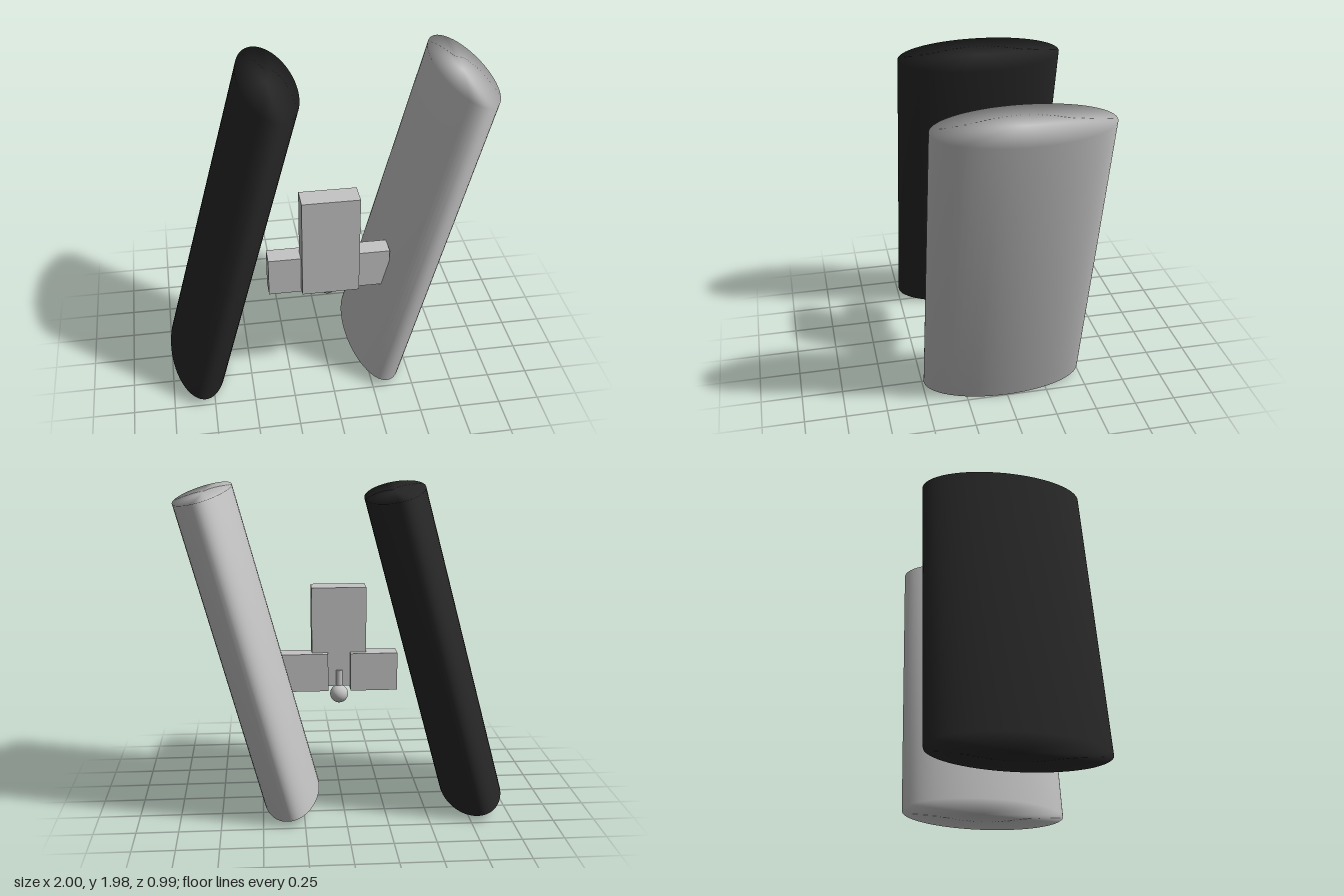
import * as THREE from 'three';
import { mergeVertices } from 'three/addons/utils/BufferGeometryUtils.js';

export function createModel() {
  const model = new THREE.Group();
  const grey = new THREE.MeshStandardMaterial({ color: 0xc4c4c4 });
  grey.name = 'light grey';
  const black = new THREE.MeshStandardMaterial({ color: 0x272727 });
  black.name = 'black';

  function add(name, geometry, material, x, y, z) {
    const mesh = new THREE.Mesh(geometry, material);
    mesh.name = name;
    mesh.position.set(x, y, z);
    model.add(mesh);
    return mesh;
  }

  // Oval column with normals blended over the rims
  let oval = new THREE.CylinderGeometry(1, 1, 1.956, 64, 1);
  oval.scale(0.182, 1, 0.497);
  oval.deleteAttribute('normal');
  oval.deleteAttribute('uv');
  oval = mergeVertices(oval);
  oval.computeVertexNormals();

  // Two leaning columns
  for (const [name, material, x] of [['rightColumn', black, -0.573], ['leftColumn', grey, 0.573]]) {
    add(name, oval, material, x, 0.997, 0).rotation.z = -THREE.MathUtils.degToRad(15);
  }

  // Short arms on either side of the centre gap
  for (const side of [-1, 1]) {
    add(side < 0 ? 'rightArm' : 'leftArm', new THREE.BoxGeometry(0.3, 0.245, 0.12), grey, side * 0.222, 0.775, 0.22);
  }

  // Upright block in front of the arms
  add('uprightBlock', new THREE.BoxGeometry(0.348, 0.645, 0.142), grey, 0, 0.9975, 0.27);

  // Ball hanging on a thin stem
  add('ball', new THREE.SphereGeometry(0.058, 32, 20), grey, 0, 0.625, 0.195);
  add('stem', new THREE.CylinderGeometry(0.022, 0.022, 0.14, 20), grey, 0, 0.71, 0.205);

  return model;
}
